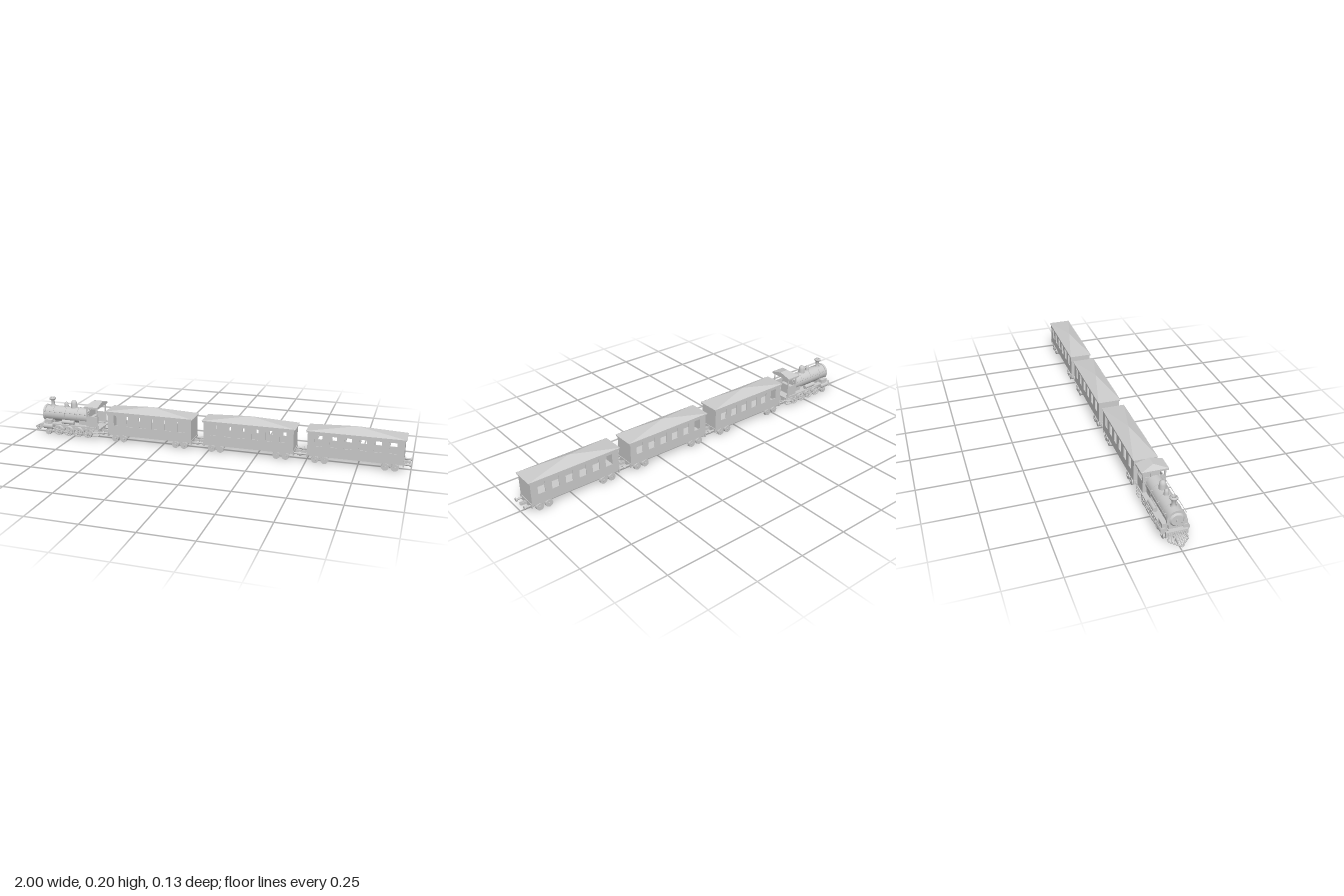
import * as THREE from 'three';

const mat = new THREE.MeshStandardMaterial({ color: 0xcccccc, side: THREE.DoubleSide });
const flat = new THREE.MeshStandardMaterial({ color: 0xcccccc, side: THREE.DoubleSide, flatShading: true });

function add(parent, name, geo, x = 0, y = 0, z = 0, m = mat) {
  const mesh = new THREE.Mesh(geo, m);
  mesh.name = name;
  mesh.position.set(x, y, z);
  parent.add(mesh);
  return mesh;
}
// box given by its limits on each axis
function box(parent, name, x0, x1, y0, y1, z0, z1) {
  return add(parent, name, new THREE.BoxGeometry(x1 - x0, y1 - y0, z1 - z0),
    (x0 + x1) / 2, (y0 + y1) / 2, (z0 + z1) / 2);
}
const cylX = (r, l, n = 16, r2 = r) => new THREE.CylinderGeometry(r, r2, l, n).rotateZ(Math.PI / 2);
const cylZ = (r, l, n = 20) => new THREE.CylinderGeometry(r, r, l, n).rotateX(Math.PI / 2);

// straight round bar between two points
function bar(parent, name, a, b, r) {
  const p = new THREE.Vector3(...a), q = new THREE.Vector3(...b);
  return add(parent, name, new THREE.TubeGeometry(new THREE.LineCurve3(p, q), 1, r, 6));
}
// upright wall in the XY plane with rectangular openings [x0, x1, y0, y1]
function wall(parent, name, x0, x1, y0, y1, holes, z, thick) {
  const rect = (s, a, b, c, d) => s.moveTo(a, c).lineTo(b, c).lineTo(b, d).lineTo(a, d).closePath();
  const shape = rect(new THREE.Shape(), x0, x1, y0, y1);
  for (const h of holes) shape.holes.push(rect(new THREE.Path(), ...h));
  return add(parent, name, new THREE.ExtrudeGeometry(shape, { depth: thick, bevelEnabled: false }), 0, 0, z);
}

// roof from an eaves rectangle and a ridge segment (a point when both ends agree)
function hipRoof(parent, name, x0, x1, y, z, ridge0, ridge1, top) {
  const v = [x0, y, z, x1, y, z, x1, y, -z, x0, y, -z, ridge0, top, 0, ridge1, top, 0];
  const f = [0, 1, 5, 0, 5, 4, 2, 3, 4, 2, 4, 5, 1, 2, 5, 3, 0, 4, 0, 3, 2, 0, 2, 1];
  const g = new THREE.BufferGeometry();
  g.setAttribute('position', new THREE.Float32BufferAttribute(v, 3));
  g.setIndex(f);
  const flatGeo = g.toNonIndexed();
  flatGeo.computeVertexNormals();
  return add(parent, name, flatGeo, 0, 0, 0, flat);
}

function wheelPair(parent, x, r) {
  for (const s of [-1, 1]) {
    add(parent, 'wheel', cylZ(r, 0.013), x, r, s * 0.045);
    add(parent, 'wheelFlange', cylZ(r + 0.002, 0.003), x, r + 0.001, s * 0.038);
    add(parent, 'wheelHub', cylZ(r * 0.35, 0.004, 12), x, r, s * 0.053);
  }
  add(parent, 'axle', cylZ(0.004, 0.08, 8), x, r, 0);
}

function bufferEnd(parent, x, dir) {
  for (const s of [-1, 1]) {
    add(parent, 'bufferStem', cylX(0.005, 0.026, 10), x + dir * 0.013, 0.037, s * 0.04);
    add(parent, 'bufferHead', cylX(0.009, 0.006), x + dir * 0.029, 0.037, s * 0.04);
    add(parent, 'couplingLink', new THREE.BoxGeometry(0.03, 0.012, 0.004), x + dir * 0.015, 0.037, s * 0.005);
  }
}

function carriage(cx) {
  const g = new THREE.Group();
  g.name = 'carriage';
  const L = 0.229;
  const windows = [];
  for (let i = 0; i < 6; i++) {
    const w = -0.176 + i * 0.0704;
    windows.push([w - 0.018, w + 0.018, 0.088, 0.143]);
  }
  // body shell
  wall(g, 'leftSideWall', -L, L, 0.05, 0.157, windows, 0.049, 0.004);
  wall(g, 'rightSideWall', -L, L, 0.05, 0.157, windows, -0.053, 0.004);
  for (const s of [-1, 1]) {
    add(g, 'endWall', new THREE.BoxGeometry(0.004, 0.107, 0.1), s * (L - 0.002), 0.1035, 0);
    bufferEnd(g, s * 0.231, s);
    add(g, 'bufferBeam', new THREE.BoxGeometry(0.006, 0.022, 0.106), s * 0.229, 0.038, 0);
  }
  box(g, 'floor', -L, L, 0.046, 0.052, -0.053, 0.053);
  box(g, 'underframe', -L, L, 0.034, 0.046, -0.048, 0.048);
  // roof
  box(g, 'roofEave', -0.236, 0.236, 0.155, 0.163, -0.056, 0.056);
  hipRoof(g, 'roof', -0.238, 0.238, 0.163, 0.058, 0, 0, 0.192);
  // bogies
  for (const s of [-1, 1]) {
    box(g, 'bogieFrame', s * 0.167 - 0.036, s * 0.167 + 0.036, 0.013, 0.036, -0.034, 0.034);
    for (const d of [-0.023, 0.023]) wheelPair(g, s * 0.167 + d, 0.018);
  }
  g.position.x = cx;
  return g;
}

function drivingWheel(parent, x, z, r) {
  const w = new THREE.Group();
  w.name = 'drivingWheel';
  w.position.set(x, r + 0.003, z);
  const profile = [[r - 0.006, -0.006], [r + 0.002, -0.006], [r, -0.003], [r, 0.006], [r - 0.006, 0.006], [r - 0.006, -0.006]];
  add(w, 'tyre', new THREE.LatheGeometry(profile.map(p => new THREE.Vector2(...p)), 24).rotateX(Math.PI / 2 * Math.sign(z)), 0, 0, 0, flat);
  add(w, 'hub', cylZ(0.007, 0.014, 12));
  for (let i = 0; i < 5; i++) {
    add(w, 'spoke', new THREE.BoxGeometry(2 * r - 0.008, 0.003, 0.005)).rotation.z = i * Math.PI / 5;
  }
  parent.add(w);
}

function locomotive() {
  const g = new THREE.Group();
  g.name = 'locomotive';
  // boiler and smokebox
  add(g, 'boiler', cylX(0.041, 0.26, 32), -0.79, 0.109, 0);
  add(g, 'smokeboxRim', cylX(0.044, 0.012, 32), -0.921, 0.109, 0);
  add(g, 'smokeboxDoor', cylX(0.034, 0.008, 32, 0.026).rotateY(0), -0.93, 0.109, 0).rotation.y = Math.PI;
  add(g, 'doorKnob', cylX(0.006, 0.008, 10), -0.936, 0.109, 0);
  for (const x of [-0.87, -0.8, -0.73]) add(g, 'boilerBand', cylX(0.0425, 0.004, 32), x, 0.109, 0);
  // chimney and domes
  const turned = (name, x, pts) => add(g, name,
    new THREE.LatheGeometry(pts.map(p => new THREE.Vector2(...p)), 20), x, 0.14, 0);
  turned('chimney', -0.885, [[0.015, 0], [0.015, 0.01], [0.009, 0.014], [0.009, 0.038], [0.018, 0.046], [0.018, 0.052], [0.013, 0.056], [0.008, 0.056], [0.007, 0.04]]);
  turned('sandDome', -0.805, [[0.012, 0], [0.011, 0.022], [0.009, 0.031], [0.005, 0.035], [0, 0.036]]);
  turned('steamDome', -0.76, [[0.017, 0], [0.016, 0.03], [0.014, 0.041], [0.008, 0.048], [0, 0.05]]);
  // frame and running boards
  box(g, 'mainFrame', -0.93, -0.6, 0.03, 0.055, -0.034, 0.034);
  box(g, 'firebox', -0.72, -0.64, 0.045, 0.11, -0.036, 0.036);
  box(g, 'smokeboxSaddle', -0.915, -0.865, 0.05, 0.08, -0.03, 0.03);
  box(g, 'frontBeam', -0.94, -0.928, 0.036, 0.058, -0.05, 0.05);
  for (const s of [-1, 1]) {
    const span = (name, x0, x1, y0, y1, z0, z1) =>
      box(g, name, x0, x1, y0, y1, Math.min(s * z0, s * z1), Math.max(s * z0, s * z1));
    span('runningBoard', -0.9, -0.61, 0.063, 0.068, 0.034, 0.06);
    // cylinder and steam chest
    add(g, 'cylinder', cylX(0.016, 0.055, 18), -0.89, 0.05, s * 0.05);
    span('steamChest', -0.912, -0.87, 0.058, 0.085, 0.034, 0.058);
    add(g, 'airTank', cylX(0.011, 0.07, 14), -0.775, 0.08, s * 0.049);
    bar(g, 'handrail', [-0.92, 0.128, s * 0.046], [-0.665, 0.128, s * 0.046], 0.0015);
    for (const x of [-0.9, -0.82, -0.74]) add(g, 'railPost', cylZ(0.002, 0.012, 6), x, 0.128, s * 0.041);
    // wheels and rods
    for (const x of [-0.837, -0.78, -0.723, -0.666]) drivingWheel(g, x, s * 0.045, 0.026);
    span('couplingRod', -0.84, -0.663, 0.021, 0.027, 0.054, 0.057);
    bar(g, 'pistonRod', [-0.87, 0.046, s * 0.058], [-0.78, 0.024, s * 0.059], 0.003);
    // cab steps
    for (const y of [0.018, 0.034, 0.05]) span('cabStep', -0.635, -0.6, y, y + 0.004, 0.036, 0.06);
    for (const x of [-0.635, -0.603]) span('stepHanger', x, x + 0.003, 0.018, 0.058, 0.04, 0.044);
  }
  wheelPair(g, -0.897, 0.016);
  for (const x of [-0.837, -0.78, -0.723, -0.666]) add(g, 'axle', cylZ(0.005, 0.09, 8), x, 0.029, 0);
  // cab
  const opening = [[-0.658, -0.607, 0.124, 0.168]];
  wall(g, 'cabLeftSide', -0.666, -0.601, 0.055, 0.175, opening, 0.05, 0.004);
  wall(g, 'cabRightSide', -0.666, -0.601, 0.055, 0.175, opening, -0.054, 0.004);
  const front = wall(g, 'cabFront', -0.05, 0.05, 0.055, 0.175,
    [[-0.045, -0.02, 0.145, 0.168], [0.02, 0.045, 0.145, 0.168]], 0, 0.004);
  front.rotation.y = Math.PI / 2;
  front.position.x = -0.666;
  box(g, 'cabFloor', -0.666, -0.595, 0.052, 0.058, -0.054, 0.054);
  box(g, 'cabRoofEave', -0.672, -0.594, 0.17, 0.179, -0.064, 0.064);
  hipRoof(g, 'cabRoof', -0.672, -0.594, 0.179, 0.064, -0.645, -0.594, 0.197);
  bufferEnd(g, -0.604, 1);
  // cowcatcher
  const tip = t => [-0.998 + 0.045 * Math.abs(t), 0.022, t * 0.045];
  for (let i = -4; i <= 4; i++) {
    const t = i / 4;
    bar(g, 'cowcatcherBar', [-0.938, 0.054, t * 0.034], tip(t), 0.0025);
  }
  for (const s of [-1, 1]) {
    bar(g, 'cowcatcherRail', tip(0), tip(s), 0.003);
    bar(g, 'cowcatcherBrace', tip(s), [-0.932, 0.04, s * 0.034], 0.003);
  }
  return g;
}

export function createModel() {
  const train = new THREE.Group();
  train.name = 'train';
  train.add(locomotive());
  for (let i = 0; i < 3; i++) train.add(carriage(-0.316 + i * 0.526));
  return train;
}
